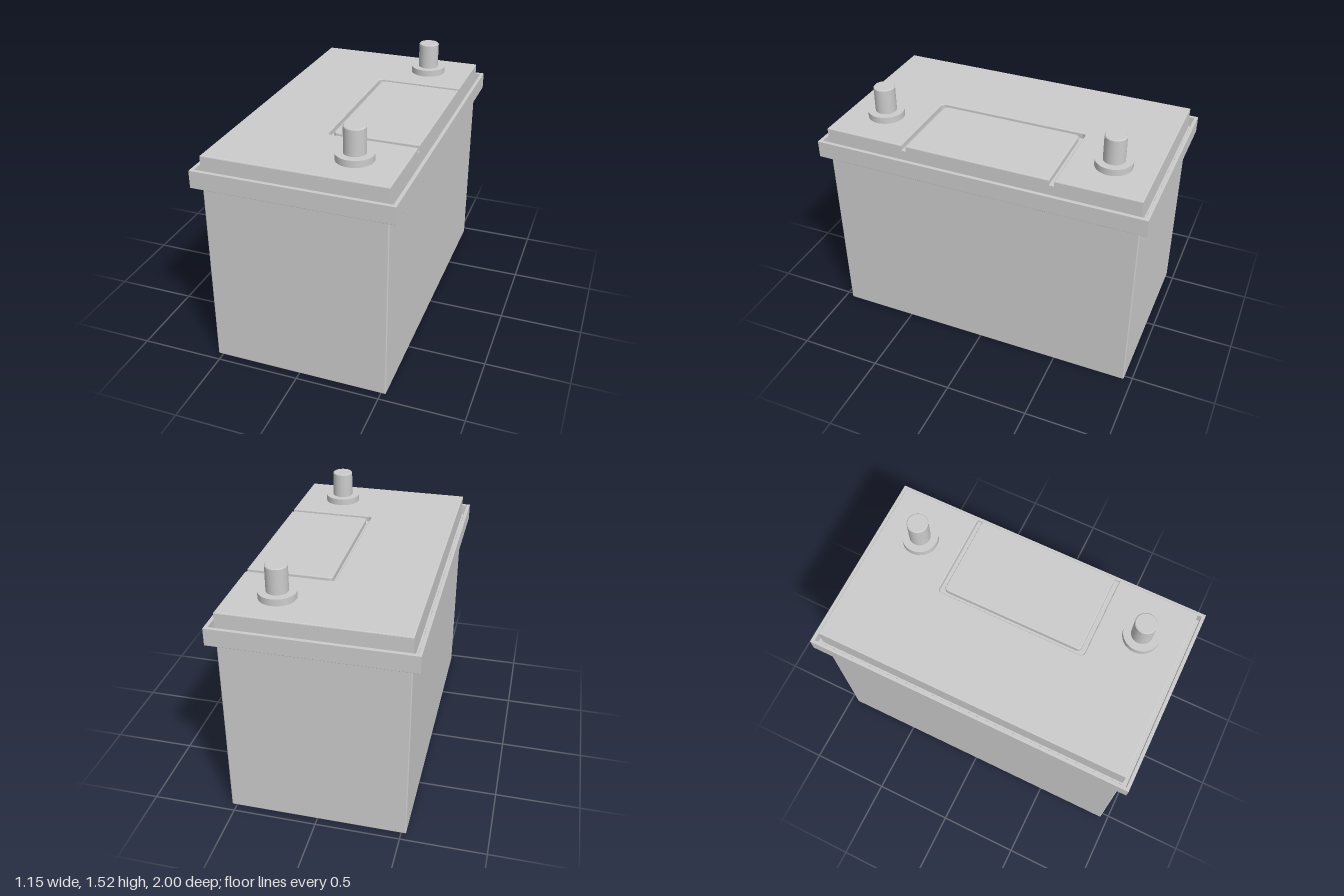
import * as THREE from 'three';
import { RoundedBoxGeometry } from 'three/addons/geometries/RoundedBoxGeometry.js';

const material = new THREE.MeshStandardMaterial({ color: 0xcccccc });
const HX = 0.53, HZ = 0.953;            // half size of case and lid
const RIM_X = 0.577, RIM_Z = 1;         // half size of the rim
const TOP = 1.325, GROOVE_Y = 1.29;     // lid top and groove floor

function add(parent, name, geometry, x = 0, y = 0, z = 0) {
  const mesh = new THREE.Mesh(geometry, material);
  mesh.name = name;
  mesh.position.set(x, y, z);
  parent.add(mesh);
  return mesh;
}

// Closed outline from [x, z, cornerRadius] points
function outline(points, Type = THREE.Shape) {
  const path = new Type();
  points.forEach(([x, z, r = 0], i) => {
    const corner = new THREE.Vector2(x, z);
    const toward = (q) => new THREE.Vector2(q[0], q[1]).sub(corner).setLength(r).add(corner);
    const a = toward(points.at(i - 1));
    const b = toward(points[(i + 1) % points.length]);
    if (i === 0) path.moveTo(a.x, a.y);
    else path.lineTo(a.x, a.y);
    if (r > 0) path.quadraticCurveTo(x, z, b.x, b.y);
  });
  path.closePath();
  return path;
}

const rect = (hx, hz, Type) => outline([[-hx, -hz], [hx, -hz], [hx, hz], [-hx, hz]], Type);

// Upright slab between two heights, with softened top and bottom edges
function slab(shape, y0, y1, bevel) {
  const geometry = new THREE.ExtrudeGeometry(shape, {
    depth: y1 - y0 - 2 * bevel, bevelEnabled: bevel > 0, bevelThickness: bevel,
    bevelSize: bevel, bevelOffset: -bevel, bevelSegments: 2, curveSegments: 5,
  });
  return geometry.rotateX(-Math.PI / 2).translate(0, y0 + bevel, 0);
}

export function createModel() {
  const model = new THREE.Group();
  model.name = 'battery';

  // Case
  add(model, 'case', new RoundedBoxGeometry(2 * HX, 1.17, 2 * HZ, 2, 0.008), 0, 0.585, 0);

  // Rim: a floor plate with a thin upright lip around it
  add(model, 'rimFloor', slab(rect(RIM_X - 0.01, RIM_Z - 0.01), 1.145, 1.185, 0));
  const lip = rect(RIM_X, RIM_Z);
  lip.holes.push(rect(RIM_X - 0.021, RIM_Z - 0.021, THREE.Path));
  add(model, 'rimLip', slab(lip, 1.145, 1.25, 0.002));

  // Lid, with a U-shaped groove left open between top plate and panel
  const lid = new THREE.Group();
  lid.name = 'lid';
  model.add(lid);
  add(lid, 'lidBase', slab(rect(HX, HZ), 1.17, GROOVE_Y, 0));
  const plate = outline([
    [-HX, -HZ], [HX, -HZ], [HX, -0.463], [0.004, -0.463, 0.025],
    [0.004, 0.463, 0.025], [HX, 0.463], [HX, HZ], [-HX, HZ],
  ]);
  add(lid, 'topPlate', slab(plate, GROOVE_Y - 0.02, TOP, 0.006));
  const panel = outline([
    [0.028, -0.434, 0.025], [HX, -0.434], [HX, 0.434], [0.028, 0.434, 0.025],
  ]);
  add(lid, 'centrePanel', slab(panel, GROOVE_Y - 0.02, TOP, 0.006));

  // Terminals: round collar and post
  for (const side of [-1, 1]) {
    const terminal = new THREE.Group();
    terminal.name = side > 0 ? 'frontTerminal' : 'backTerminal';
    terminal.position.set(0.257, 0, side * 0.71);
    add(terminal, 'collar', new THREE.CylinderGeometry(0.108, 0.108, 0.05, 32), 0, 1.34, 0);
    add(terminal, 'post', new THREE.CylinderGeometry(0.063, 0.063, 0.165, 32), 0, 1.4325, 0);
    add(terminal, 'postTop', new THREE.CylinderGeometry(0.058, 0.063, 0.005, 32), 0, 1.5175, 0);
    model.add(terminal);
  }
  return model;
}
